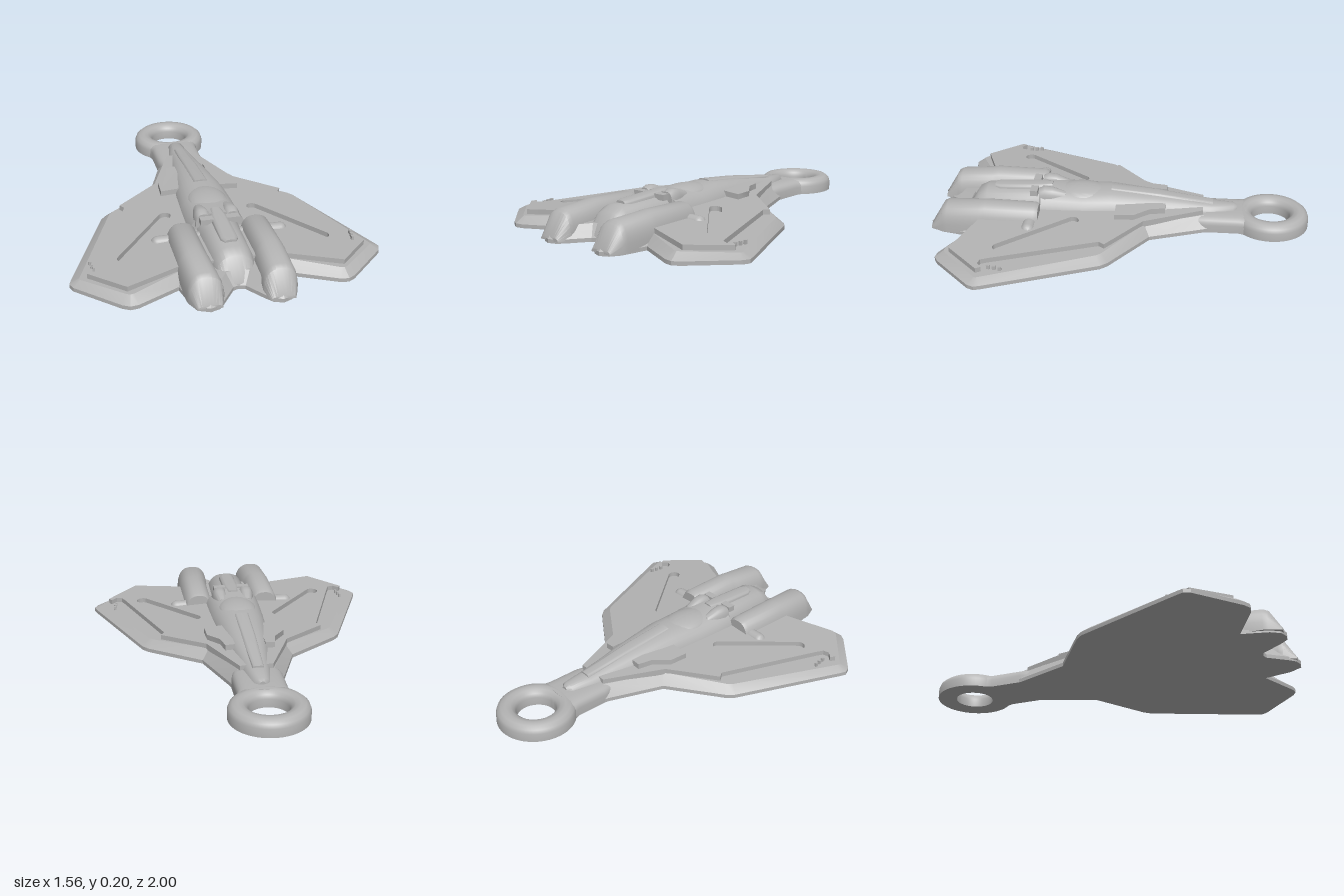
import * as THREE from 'three';
import { toCreasedNormals } from 'three/addons/utils/BufferGeometryUtils.js';

const grey = new THREE.MeshStandardMaterial({ color: 0xb3b3b3 });
grey.name = 'plain grey';

// Wing heights fall in a straight line from the middle to the tips
const rimTop = (x) => 0.085 - 0.058 * Math.abs(x);
const panelTop = (x) => 0.11 - 0.057 * Math.abs(x);

function fromTriangles(positions) {
  const g = new THREE.BufferGeometry();
  g.setAttribute('position', new THREE.Float32BufferAttribute(positions, 3));
  g.computeVertexNormals();
  return g;
}

// Arched body along z; each section is [z, centreX, halfWidth, top, bottom]
function archLoft(sections, power = 0.75, n = 16) {
  const rings = sections.map(([z, cx, w, top, bottom = 0.01]) =>
    Array.from({ length: n + 1 }, (_, j) => {
      const a = (j / n) * Math.PI;
      const c = Math.cos(a);
      return [
        cx + w * Math.sign(c) * Math.pow(Math.abs(c), power),
        bottom + (top - bottom) * Math.pow(Math.max(0, Math.sin(a)), power),
        z,
      ];
    }));
  const out = [];
  const tri = (a, b, c) => out.push(...a, ...b, ...c);
  for (let i = 0; i < rings.length - 1; i++) {
    for (let j = 0; j < n; j++) {
      const a = rings[i][j], b = rings[i + 1][j], c = rings[i][j + 1], d = rings[i + 1][j + 1];
      tri(a, c, b);
      tri(b, c, d);
    }
    tri(rings[i][0], rings[i + 1][0], rings[i][n]);
    tri(rings[i + 1][0], rings[i + 1][n], rings[i][n]);
  }
  const first = rings[0], last = rings[rings.length - 1];
  for (let j = 1; j < n; j++) {
    tri(first[0], first[j + 1], first[j]);
    tri(last[0], last[j], last[j + 1]);
  }
  return fromTriangles(out);
}

// Half of the base plate: short upright edge, then a bevel to a sloping top
function halfPlate(points, edge, inset) {
  const n = points.length;
  const at = (i) => {
    if (i < 0) return [-points[1][0], points[1][1]];
    if (i >= n) return [-points[n - 2][0], points[n - 2][1]];
    return points[i];
  };
  const normal = (p, q) => new THREE.Vector2(q[1] - p[1], p[0] - q[0]).normalize();
  const inner = points.map((p, i) => {
    const a = normal(at(i - 1), p), b = normal(p, at(i + 1));
    const m = a.clone().add(b).normalize();
    const d = inset / Math.max(0.5, m.dot(a));
    return [Math.max(0, p[0] - m.x * d), p[1] - m.y * d];
  });
  const loops = [
    points.map(([x, z]) => [x, 0, z]),
    points.map(([x, z]) => [x, edge, z]),
    inner.map(([x, z]) => [x, rimTop(x), z]),
  ];
  const out = [];
  for (let k = 0; k < 2; k++) {
    for (let i = 0; i < n - 1; i++) {
      const a = loops[k][i], b = loops[k][i + 1], c = loops[k + 1][i], d = loops[k + 1][i + 1];
      out.push(...a, ...c, ...b, ...b, ...c, ...d);
    }
  }
  const cap = (loop, up) => {
    const flat = loop.map((p) => new THREE.Vector2(p[0], p[2]));
    for (const [i, j, k] of THREE.ShapeUtils.triangulateShape(flat, [])) {
      const cross = flat[j].clone().sub(flat[i]).cross(flat[k].clone().sub(flat[i]));
      const order = (cross < 0) === up ? [i, j, k] : [i, k, j];
      order.forEach((v) => out.push(...loop[v]));
    }
  };
  cap(loops[0], false);
  cap(loops[2], true);
  return fromTriangles(out);
}

// Flat x,z outline draped between two heights
function drapedPlate(points, holes, topAt, bottomAt) {
  const shape = new THREE.Shape(points.map(([x, z]) => new THREE.Vector2(x, z)));
  shape.holes = holes;
  const g = new THREE.ExtrudeGeometry(shape, { depth: 1, bevelEnabled: false, curveSegments: 10 });
  g.rotateX(Math.PI / 2);
  const p = g.attributes.position;
  for (let i = 0; i < p.count; i++) {
    p.setY(i, p.getY(i) > -0.5 ? topAt(p.getX(i), p.getZ(i)) : bottomAt(p.getX(i)));
  }
  return g;
}

// Round-ended slot between two points
function slot(x1, z1, x2, z2, r) {
  const a = Math.atan2(z2 - z1, x2 - x1);
  const path = new THREE.Path();
  path.absarc(x2, z2, r, a - Math.PI / 2, a + Math.PI / 2, false);
  path.absarc(x1, z1, r, a + Math.PI / 2, a + Math.PI * 1.5, false);
  path.closePath();
  return path;
}

function mirrored(geometry) {
  const src = geometry.index ? geometry.toNonIndexed() : geometry;
  const p = src.attributes.position;
  const out = [];
  for (let i = 0; i < p.count; i += 3) {
    for (const k of [i, i + 2, i + 1]) out.push(-p.getX(k), p.getY(k), p.getZ(k));
  }
  return fromTriangles(out);
}

export function createModel() {
  const model = new THREE.Group();
  model.name = 'spacecraftKeyTag';
  const add = (name, geometry, crease = 0.6) => {
    const mesh = new THREE.Mesh(toCreasedNormals(geometry, crease), grey);
    mesh.name = name;
    model.add(mesh);
  };
  const addPair = (name, geometry, crease) => {
    add(name + 'Left', geometry, crease);
    add(name + 'Right', mirrored(geometry), crease);
  };

  // Base plate with swept wings and forked tail
  addPair('wingBase', halfPlate([
    [0, -0.5], [0.125, -0.5], [0.135, -0.45], [0.24, -0.165], [0.51, 0.025], [0.54, 0.06],
    [0.77, 0.62], [0.78, 0.65], [0.765, 0.685], [0.565, 0.88], [0.53, 0.9], [0.49, 0.895],
    [0.28, 0.79], [0.25, 0.93], [0.22, 0.98], [0.175, 1], [0.13, 0.985], [0.1, 0.95],
    [0.03, 0.85], [0, 0.84],
  ], 0.02, 0.045), 0.35);

  // Raised wing panels with a slot and a tip notch
  addPair('wingPanel', drapedPlate([
    [0.03, -0.44], [0.085, -0.44], [0.215, -0.13], [0.44, 0.05], [0.42, 0.08], [0.605, 0.61],
    [0.62, 0.645], [0.65, 0.655], [0.68, 0.63], [0.695, 0.655], [0.53, 0.825], [0.27, 0.73],
    [0.03, 0.73],
  ], [slot(0.235, 0.235, 0.505, 0.575, 0.032)], panelTop, (x) => rimTop(x) - 0.008), 0.4);

  // Small ticks by the wing tips
  for (let i = 0; i < 3; i++) {
    const tick = new THREE.BoxGeometry(0.012, 0.03, 0.016);
    tick.translate(0.665 - i * 0.005, 0.052, 0.54 + i * 0.03);
    addPair('tipTick' + i, tick);
  }

  // Hanging ring and neck
  const ringProfile = [[0.1, 0], [0.2, 0], [0.2, 0.045], [0.193, 0.065], [0.175, 0.08], [0.15, 0.085],
    [0.125, 0.08], [0.107, 0.065], [0.1, 0.045], [0.1, 0]].map(([x, y]) => new THREE.Vector2(x, y));
  const ring = new THREE.LatheGeometry(ringProfile, 64);
  ring.translate(0, 0, -0.8);
  add('hangingRing', ring);
  add('neck', archLoft([
    [-0.67, 0, 0.145, 0.083, 0], [-0.63, 0, 0.132, 0.085, 0], [-0.46, 0, 0.132, 0.085, 0], [-0.4, 0, 0.12, 0.08, 0],
  ], 0.45));

  // Fuselage, tapering to the nose on the neck
  add('fuselage', archLoft([
    [-0.62, 0, 0.025, 0.1], [-0.6, 0, 0.05, 0.11], [-0.48, 0, 0.075, 0.115], [-0.35, 0, 0.09, 0.133],
    [-0.2, 0, 0.115, 0.155], [0.05, 0, 0.145, 0.18], [0.2, 0, 0.155, 0.175], [0.33, 0, 0.158, 0.182],
    [0.42, 0, 0.158, 0.188],
  ]), 0.7);
  add('rearSpine', archLoft([
    [0.4, 0, 0.12, 0.175], [0.5, 0, 0.115, 0.17], [0.72, 0, 0.11, 0.165], [0.77, 0, 0.1, 0.14], [0.84, 0, 0.08, 0.03],
  ]));

  // Ridges along the back
  add('noseRidge', archLoft([
    [-0.49, 0, 0.03, 0.123, 0.09], [-0.35, 0, 0.034, 0.141, 0.1], [-0.2, 0, 0.038, 0.163, 0.12],
    [0.05, 0, 0.04, 0.187, 0.14],
  ], 0.4));
  add('rearRidge', archLoft([
    [0.37, 0, 0.03, 0.192, 0.12], [0.45, 0, 0.045, 0.19, 0.12], [0.65, 0, 0.045, 0.18, 0.12], [0.68, 0, 0.03, 0.178, 0.12],
  ], 0.4));
  addPair('shoulderRidge', archLoft([
    [0.29, 0.07, 0.03, 0.172, 0.12], [0.36, 0.075, 0.04, 0.197, 0.12], [0.4, 0.075, 0.045, 0.202, 0.12],
    [0.43, 0.075, 0.04, 0.19, 0.12],
  ]));

  // Canopy
  const canopy = new THREE.SphereGeometry(1, 32, 12, 0, Math.PI * 2, 0, Math.PI / 2);
  canopy.scale(0.105, 0.05, 0.17);
  canopy.translate(0, 0.138, 0.21);
  add('canopy', canopy);

  // Engine nacelles with sloping tail cones
  addPair('engineNacelle', archLoft([
    [0.42, 0.19, 0.076, 0.15], [0.44, 0.19, 0.083, 0.16], [0.7, 0.19, 0.085, 0.166], [0.73, 0.188, 0.088, 0.162],
    [0.9, 0.18, 0.088, 0.153], [0.925, 0.178, 0.085, 0.14], [0.99, 0.175, 0.06, 0.03],
  ]));

  // Cross bar reaching out over the wings
  const bar = new THREE.CapsuleGeometry(0.036, 0.24, 6, 16);
  bar.rotateZ(Math.PI / 2);
  bar.translate(0.195, 0.075, 0.46);
  addPair('crossBar', bar);
  const brace = new THREE.BoxGeometry(0.2, 0.03, 0.04);
  brace.translate(0, 0.17, 0.46);
  add('spineBrace', brace);

  // Intake wedges beside the cockpit
  addPair('intake', drapedPlate([
    [0.08, -0.24], [0.13, -0.24], [0.145, -0.16], [0.205, -0.08], [0.21, 0.02], [0.08, 0.02],
  ], [], (x, z) => 0.135 - 0.08 * Math.max(0, x - 0.1), rimTop));

  return model;
}
